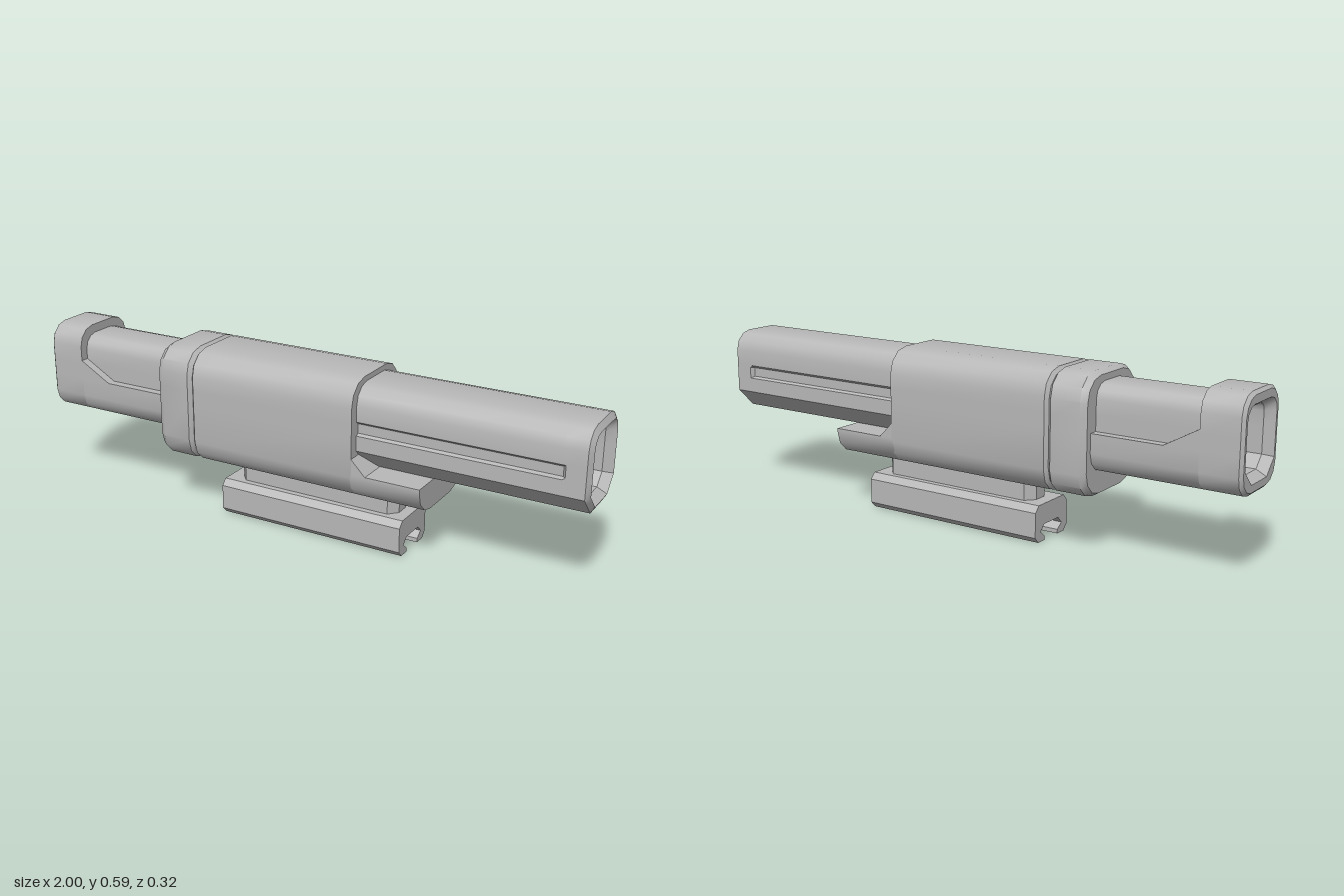
import * as THREE from 'three';
import { toCreasedNormals } from 'three/addons/utils/BufferGeometryUtils.js';

const grey = new THREE.MeshStandardMaterial({ color: 0xb8b8b8 });
grey.name = 'matteGrey';

// Half outline (u = -z, y) from bottom to top: lower corner, side groove, upper corner.
function halfOutline({ w, b, t, rt, rb, chamfer = false, groove = 0 }) {
  const pts = [];
  for (let i = 0; i < 4; i++) {
    const a = (i / 3) * Math.PI / 2;
    pts.push(chamfer
      ? [w - rb + rb * i / 3, b + rb * i / 3]
      : [w - rb + rb * Math.sin(a), b + rb - rb * Math.cos(a)]);
  }
  pts.push([w, 0.405], [w - groove, 0.411], [w - groove, 0.443], [w, 0.452]);
  for (let i = 0; i < 4; i++) {
    const a = (i / 3) * Math.PI / 2;
    pts.push([w - rt + rt * Math.cos(a), t - rt + rt * Math.sin(a)]);
  }
  return pts;
}

const mirrored = (half) => [...half, ...half.map(([u, y]) => [-u, y]).reverse()];

// Same outline moved inwards by d
const inset = (o, d) => ({ ...o, w: o.w - d, b: o.b + d, t: o.t - d, rt: o.rt - d * 0.5, rb: o.rb - d * 0.5 });

function addMesh(group, name, geometry) {
  const mesh = new THREE.Mesh(toCreasedNormals(geometry, 0.6), grey);
  mesh.name = name;
  group.add(mesh);
}

// Skin through a list of [x, outline] sections
function loft(sections) {
  const pos = [], index = [];
  const rings = sections.map(([x, o]) => mirrored(halfOutline(o)).map(([u, y]) => [x, y, -u]));
  const n = rings[0].length;
  rings.forEach((ring) => ring.forEach((p) => pos.push(...p)));
  for (let i = 0; i < rings.length - 1; i++) {
    for (let j = 0; j < n; j++) {
      const k = (j + 1) % n;
      const a = i * n + j, b = i * n + k, c = a + n, d = b + n;
      index.push(a, b, c, b, d, c);
    }
  }
  const g = new THREE.BufferGeometry();
  g.setAttribute('position', new THREE.Float32BufferAttribute(pos, 3));
  g.setIndex(index);
  return g;
}

function extrude(points, depth) {
  const shape = new THREE.Shape(points.map(([x, y]) => new THREE.Vector2(x, y)));
  return new THREE.ExtrudeGeometry(shape, { depth, bevelEnabled: false });
}

// Prism with a (u, y) section running from x0 to x1
const prismX = (points, x0, x1) => extrude(points, x1 - x0).rotateY(Math.PI / 2).translate(x0, 0, 0);

// Prism with an (x, y) section running from z0 to z1
const prismZ = (points, z0, z1) => extrude(points, z1 - z0).translate(0, 0, z0);

const BORE = { w: 0.082, b: 0.33, t: 0.528, rt: 0.03, rb: 0.037, chamfer: true };
const MOUTH = { w: 0.105, b: 0.309, t: 0.548, rt: 0.045, rb: 0.05, chamfer: true };
const BODY = { w: 0.158, b: 0.191, t: 0.588, rt: 0.083, rb: 0.083 };
const BARREL = { w: 0.125, b: 0.288, t: 0.57, rt: 0.066, rb: 0.066, chamfer: true };
const EYE = { w: 0.125, b: 0.275, t: 0.585, rt: 0.066, rb: 0.066 };
const CORE = { w: 0.095, b: 0.29, t: 0.555, rt: 0.05, rb: 0.05 };

export function createModel() {
  const model = new THREE.Group();
  model.name = 'sight';

  // Eyepiece: full end block, narrow core, and a stepped lower shell
  const eyepiece = new THREE.Group();
  eyepiece.name = 'eyepiece';
  addMesh(eyepiece, 'eyepieceEnd', loft([
    [-1, MOUTH], [-1, inset(EYE, 0.01)], [-0.99, EYE], [-0.865, EYE], [-0.865, BORE],
  ]));
  addMesh(eyepiece, 'eyepieceCore', loft([[-0.87, CORE], [-0.5, CORE]]));
  const low = halfOutline(EYE).slice(0, 5);
  addMesh(eyepiece, 'eyepieceLowerShell', prismX([
    ...low, [0.086, 0.405], [0.086, 0.32], [-0.086, 0.32], [-0.086, 0.405],
    ...low.map(([u, y]) => [-u, y]).reverse(),
  ], -0.865, -0.505));
  for (const z of [-0.125, 0.086]) {
    addMesh(eyepiece, 'eyepieceShoulder',
      prismZ([[-0.865, 0.405], [-0.75, 0.405], [-0.865, 0.47]], z, z + 0.039));
  }
  model.add(eyepiece);

  // Collar and main housing, separated by a narrow V groove
  const edge = inset(BODY, 0.012);
  addMesh(model, 'collar', loft([
    [-0.508, BORE], [-0.508, edge], [-0.488, BODY], [-0.385, BODY], [-0.372, edge],
  ]));
  addMesh(model, 'housing', loft([
    [-0.372, edge], [-0.362, BODY], [0.24, BODY], [0.24, BORE],
  ]));

  // Lip carried forward under the barrel, with a sloped shoulder
  const lipHalf = [...halfOutline(BODY).slice(0, 4), [0.158, 0.286]];
  addMesh(model, 'housingLip', prismX(mirrored(lipHalf), 0.235, 0.48));
  addMesh(model, 'housingShoulder',
    prismZ([[0.24, 0.286], [0.29, 0.286], [0.24, 0.337]], -0.158, 0.158));

  // Barrel with a shallow groove along each side and a bevelled muzzle
  const grooved = { ...BARREL, groove: 0.012 };
  addMesh(model, 'barrel', loft([
    [0.22, grooved], [0.915, grooved], [0.925, BARREL], [0.988, BARREL], [1, MOUTH],
  ]));

  // Open bore running the full length, flared at both ends
  addMesh(model, 'bore', loft([[1, MOUTH], [0.97, BORE], [-0.97, BORE], [-1, MOUTH]]));

  // Neck with pointed ends, between housing and clamp
  const neck = extrude([
    [0.348, -0.024], [0.348, 0.024], [0.32, 0.055], [-0.225, 0.055],
    [-0.253, 0.024], [-0.253, -0.024], [-0.225, -0.055], [0.32, -0.055],
  ], 0.09).rotateX(-Math.PI / 2).translate(0, 0.115, 0);
  addMesh(model, 'mountNeck', neck);

  // Rail clamp with an undercut slot
  const clampHalf = [
    [0.042, 0.055], [0.064, 0.033], [0.039, 0.014], [0.039, 0],
    [0.077, 0], [0.096, 0.02], [0.096, 0.104], [0.076, 0.125],
  ];
  addMesh(model, 'railClamp', prismX(mirrored(clampHalf), -0.296, 0.386));

  return model;
}
